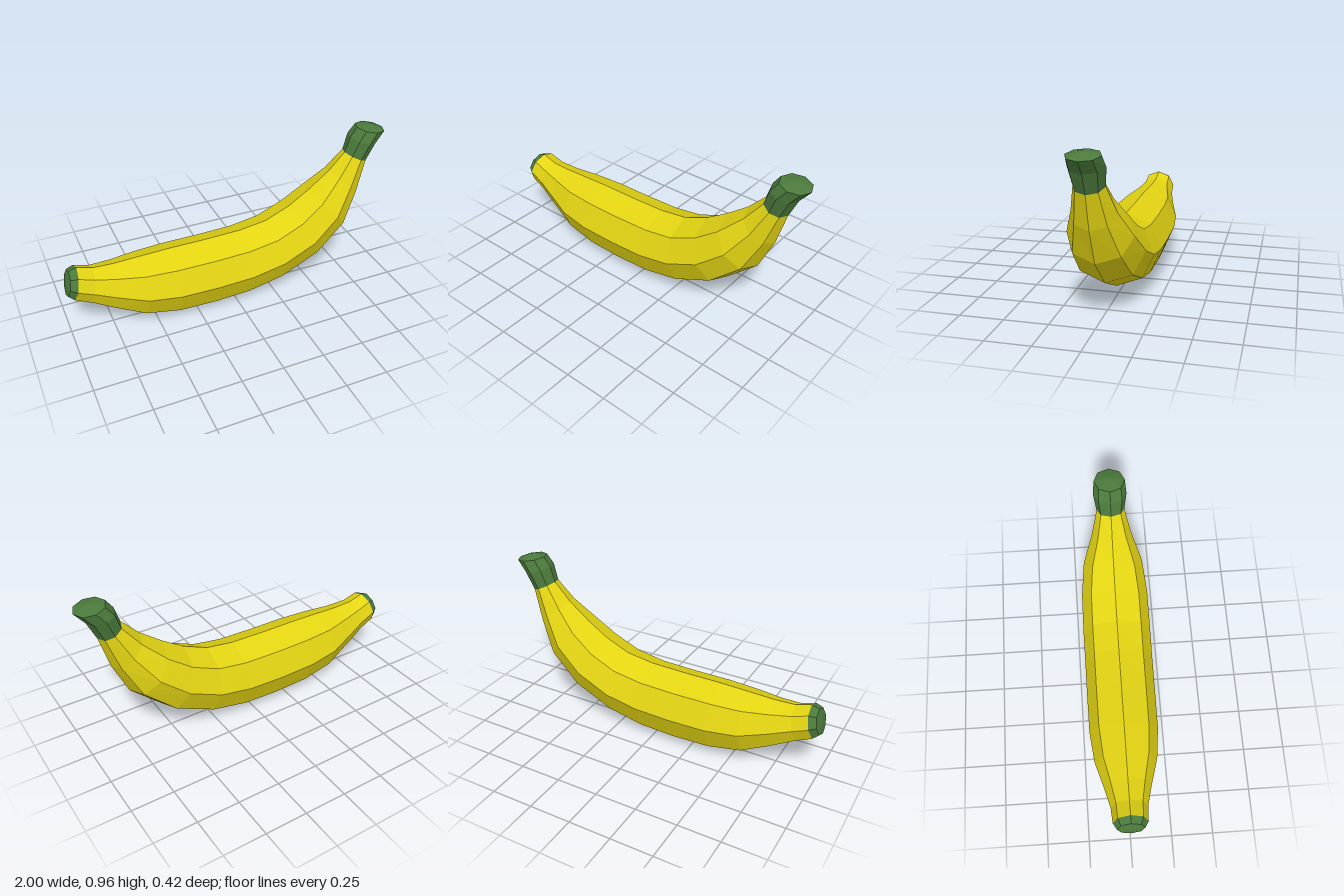
import * as THREE from 'three';

const SIDES = 8;

// Each ring: [topX, topY, bottomX, bottomY, halfWidth], running from tip to stem
const tipRings = [
  [-0.965, 0.43, -1.0, 0.28, 0.08],
  [-0.92, 0.443, -0.97, 0.25, 0.102],
];
const bodyRings = [
  tipRings[1],
  [-0.83, 0.415, -0.88, 0.205, 0.108],
  [-0.71, 0.41, -0.75, 0.13, 0.14],
  [-0.56, 0.415, -0.58, 0.045, 0.187],
  [-0.38, 0.42, -0.38, 0.008, 0.208],
  [-0.15, 0.42, -0.15, 0.0, 0.21],
  [0.07, 0.425, 0.07, 0.01, 0.21],
  [0.24, 0.45, 0.30, 0.06, 0.21],
  [0.39, 0.515, 0.55, 0.175, 0.205],
  [0.52, 0.60, 0.74, 0.35, 0.18],
  [0.65, 0.70, 0.83, 0.55, 0.12],
  [0.75, 0.805, 0.885, 0.745, 0.082],
];
const stemRings = [
  bodyRings[bodyRings.length - 1],
  [0.78, 0.90, 0.935, 0.855, 0.097],
  [0.82, 0.955, 0.995, 0.928, 0.09],
];

function ringPoints([tx, ty, bx, by, w]) {
  return Array.from({ length: SIDES }, (_, j) => {
    const a = (j / SIDES) * Math.PI * 2;
    const c = Math.cos(a) / 2;
    return [(tx + bx) / 2 + (tx - bx) * c, (ty + by) / 2 + (ty - by) * c, Math.sin(a) * w];
  });
}

// Faceted skin through the rings, with an optional cap centre at either end
function loft(name, rings, color, startCap, endCap) {
  const pts = rings.map(ringPoints);
  const last = pts[pts.length - 1];
  const pos = [];
  const tri = (...corners) => corners.forEach((p) => pos.push(...p));
  for (let j = 0; j < SIDES; j++) {
    const k = (j + 1) % SIDES;
    for (let i = 0; i < pts.length - 1; i++) {
      tri(pts[i][j], pts[i][k], pts[i + 1][j]);
      tri(pts[i][k], pts[i + 1][k], pts[i + 1][j]);
    }
    if (startCap) tri(startCap, pts[0][k], pts[0][j]);
    if (endCap) tri(endCap, last[j], last[k]);
  }
  const geometry = new THREE.BufferGeometry();
  geometry.setAttribute('position', new THREE.Float32BufferAttribute(pos, 3));
  geometry.computeVertexNormals();
  const mesh = new THREE.Mesh(geometry, new THREE.MeshStandardMaterial({ color, flatShading: true }));
  mesh.name = name;
  return mesh;
}

export function createModel() {
  const group = new THREE.Group();
  group.name = 'banana';
  const yellow = 0xe3d412;
  const green = 0x4b7a3c;
  group.add(
    loft('blossomTip', tipRings, green, [-0.99, 0.357, 0], null),
    loft('peel', bodyRings, yellow, null, null),
    loft('stem', stemRings, green, null, [0.915, 0.962, 0]),
  );
  return group;
}
